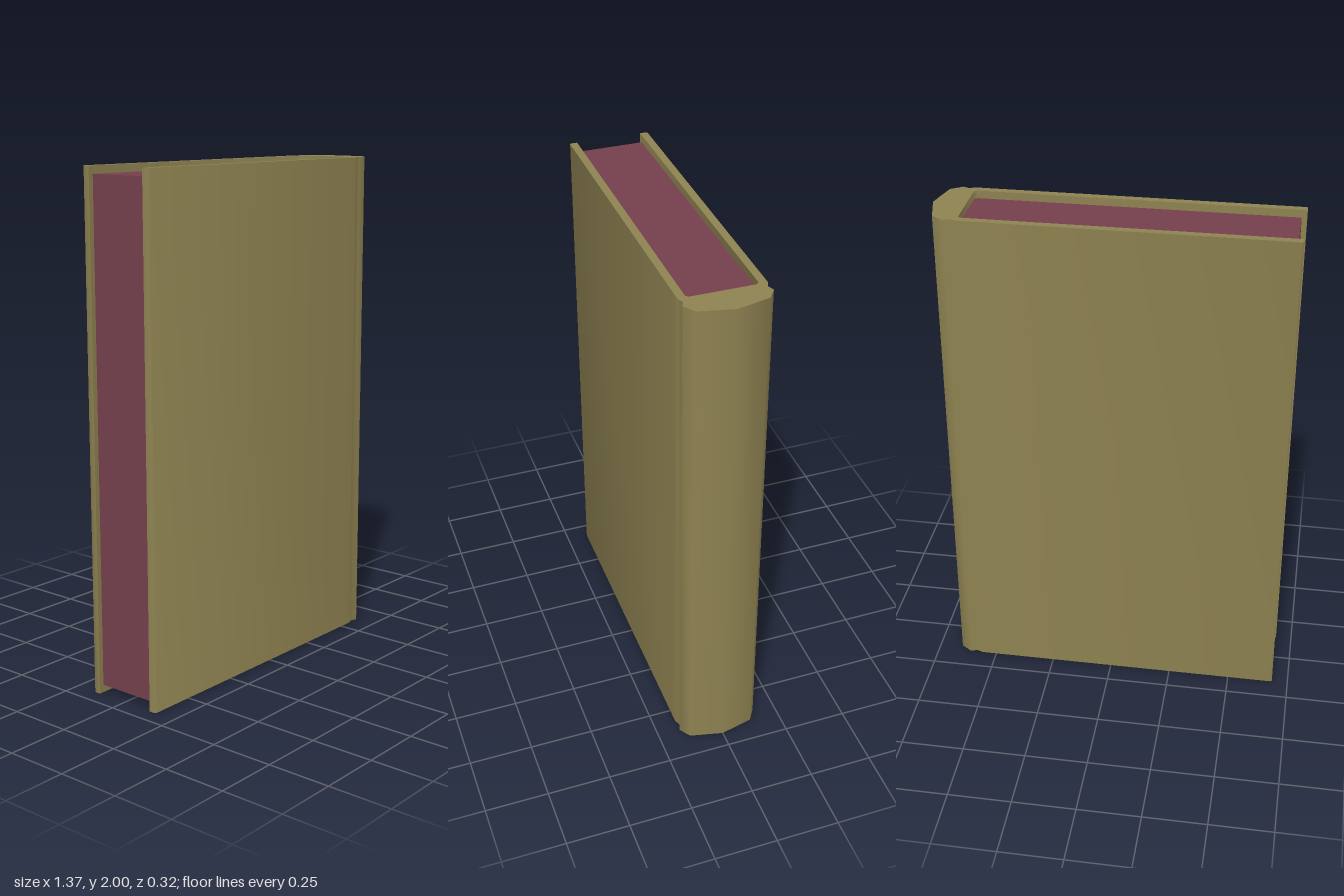
import * as THREE from 'three';
import { toCreasedNormals } from 'three/addons/utils/BufferGeometryUtils.js';

export function createModel() {
  const group = new THREE.Group();
  group.name = 'book';
  const coverMaterial = new THREE.MeshStandardMaterial({ color: 0x8e8251 });
  coverMaterial.name = 'olive cover';
  const pageMaterial = new THREE.MeshStandardMaterial({ color: 0x74404c });
  pageMaterial.name = 'maroon pages';

  // Half of the cover's cross-section: inner spine, board, hinge groove, spine ridge
  const half = [
    [0.56, 0.12], [0.55, 0.13], [-0.685, 0.13], [-0.685, 0.155], [-0.68, 0.16],
    [0.54, 0.16], [0.56, 0.16], [0.585, 0.15], [0.61, 0.16], [0.655, 0.13],
  ];
  const mirrored = half.map(([x, z]) => [x, -z]).reverse();
  const outline = [...half, [0.685, 0], ...mirrored];
  const shape = new THREE.Shape(outline.map(([x, z]) => new THREE.Vector2(x, z)));
  const coverGeometry = new THREE.ExtrudeGeometry(shape, { depth: 2, bevelEnabled: false });
  coverGeometry.rotateX(-Math.PI / 2);
  const cover = new THREE.Mesh(toCreasedNormals(coverGeometry, Math.PI / 3.2), coverMaterial);
  cover.name = 'coverAndSpine';
  group.add(cover);

  // Page block, set in slightly from the cover edges
  const pages = new THREE.Mesh(new THREE.BoxGeometry(1.225, 1.94, 0.262), pageMaterial);
  pages.position.set(-0.0525, 1, 0);
  pages.name = 'pages';
  group.add(pages);

  return group;
}
